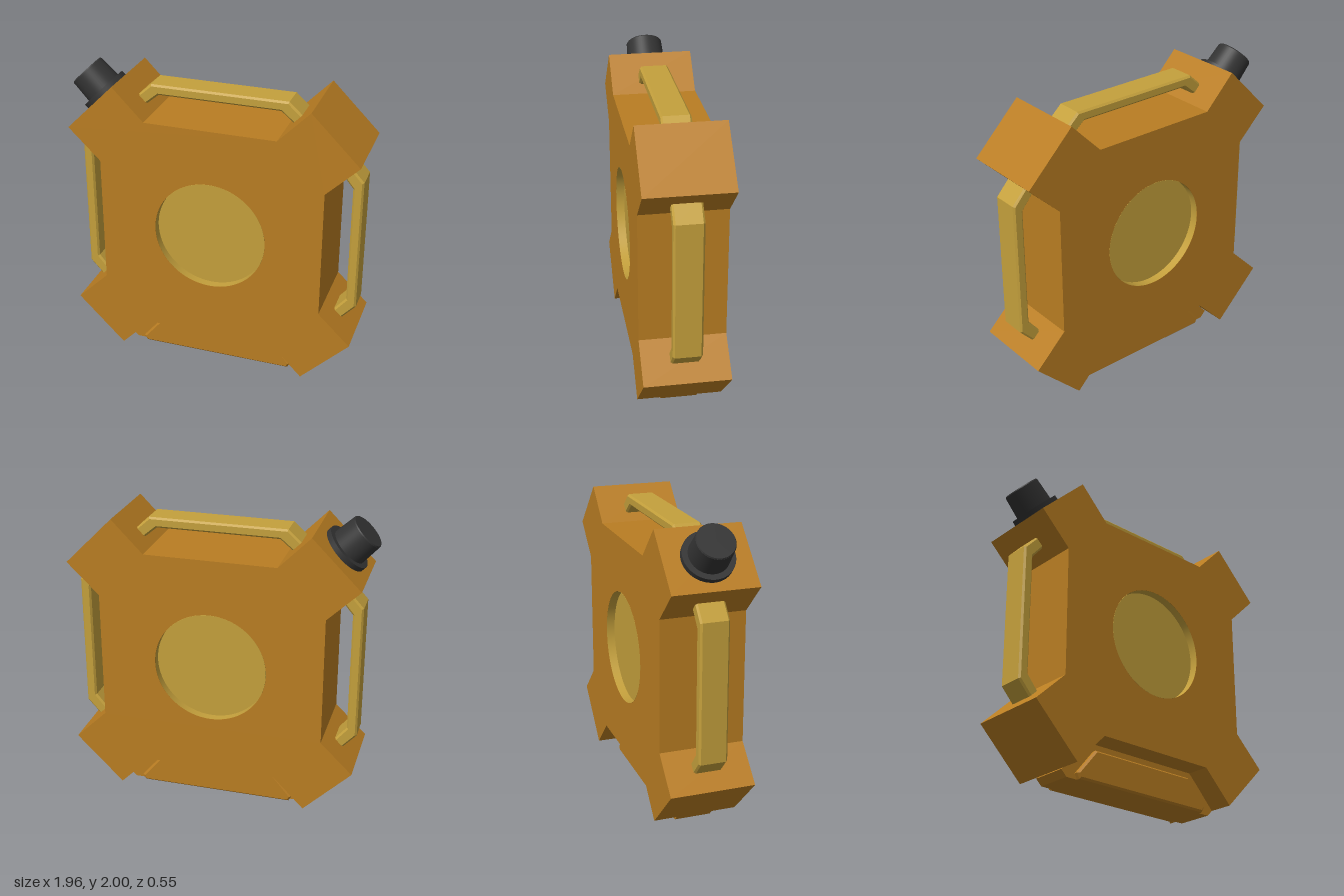
import * as THREE from 'three';

const CX = 0.03, CY = 0.99;   // centre of the can
const HALF = 0.275;           // half thickness

const material = (color, side = THREE.FrontSide) =>
  new THREE.MeshStandardMaterial({ color, side });
const orange = material(0xb97d22);
const yellow = material(0xc4a03c);
const yellowWall = material(0xc4a03c, THREE.DoubleSide);
const black = material(0x333333);

// Outline in x and y, extruded symmetrically about z = 0
function slab(shape, half, bevel = 0) {
  const geometry = new THREE.ExtrudeGeometry(shape, {
    depth: 2 * (half - bevel), bevelEnabled: bevel > 0, bevelSize: bevel,
    bevelOffset: -bevel, bevelThickness: bevel, bevelSegments: 1, curveSegments: 48,
  });
  return geometry.translate(0, 0, bevel - half);
}

const outline = (points) => new THREE.Shape(points.map(([x, y]) => new THREE.Vector2(x, y)));

function add(parent, name, geometry, mat) {
  const mesh = new THREE.Mesh(geometry, mat);
  mesh.name = name;
  parent.add(mesh);
  return mesh;
}

export function createModel() {
  const model = new THREE.Group();
  model.name = 'fuelCan';
  const can = new THREE.Group();
  can.name = 'can';
  can.position.set(CX, CY, 0);
  model.add(can);

  // Body: a square with four diagonal arms, pierced for the round recesses
  const bodyPoints = [];
  for (let i = 0; i < 4; i++) {
    const c = Math.round(Math.cos(i * Math.PI / 2)), s = Math.round(Math.sin(i * Math.PI / 2));
    for (const [u, v] of [[0.635, 0.948], [0.43, 0.738], [-0.43, 0.738], [-0.635, 0.948]]) {
      bodyPoints.push([c * u - s * v, s * u + c * v]);
    }
  }
  const bodyShape = outline(bodyPoints);
  bodyShape.holes.push(new THREE.Path().absarc(0, 0.005, 0.37, 0, Math.PI * 2, true));
  add(can, 'body', slab(bodyShape, HALF), orange);

  // Round recess on the front and back
  const floor = new THREE.CylinderGeometry(0.37, 0.37, 2 * (HALF - 0.055), 96);
  add(can, 'recessFloor', floor.rotateX(Math.PI / 2).translate(0, 0.005, 0), yellow);
  const wall = new THREE.CylinderGeometry(0.369, 0.369, 2 * HALF, 96, 1, true);
  add(can, 'recessWall', wall.rotateX(Math.PI / 2).translate(0, 0.005, 0), yellowWall);

  // Handles bridging the top and side notches
  const handleShape = (v) => outline([
    [-0.45, v], [-0.56, v - 0.1], [-0.5, v - 0.15], [-0.4, v - 0.067],
    [0.4, v - 0.067], [0.5, v - 0.15], [0.56, v - 0.1], [0.45, v],
  ]);
  for (const [name, angle, reach] of [
    ['topHandle', 0, 0.92], ['leftHandle', -Math.PI / 2, 0.94], ['rightHandle', Math.PI / 2, 0.94],
  ]) {
    add(can, name, slab(handleShape(reach), 0.093, 0.012), yellow).rotation.z = angle;
  }

  // Foot in the bottom notch: a core and a wider block over it
  add(can, 'footCore', slab(outline([
    [-0.59, -0.99], [0.59, -0.99], [0.63, -0.95], [0.43, -0.735], [-0.43, -0.735], [-0.63, -0.95],
  ]), 0.12), orange);
  add(can, 'footBlock', slab(outline([
    [-0.51, -0.99], [0.51, -0.99], [0.53, -0.955], [0.39, -0.785], [-0.39, -0.785], [-0.53, -0.955],
  ]), 0.155, 0.012), orange);

  // Screw cap on the upper right arm, pointing diagonally outward
  const cap = new THREE.Group();
  cap.name = 'cap';
  cap.position.set(-0.7915, 0.7915, 0);
  cap.rotation.z = Math.PI / 4;
  can.add(cap);
  add(cap, 'capFlange', new THREE.CylinderGeometry(0.163, 0.163, 0.05, 48).translate(0, 0.01, 0), black);
  add(cap, 'capGrip', new THREE.CylinderGeometry(0.12, 0.128, 0.17, 48).translate(0, 0.1, 0), black);
  add(cap, 'capRim', new THREE.CylinderGeometry(0.115, 0.12, 0.008, 48).translate(0, 0.188, 0), black);

  return model;
}
